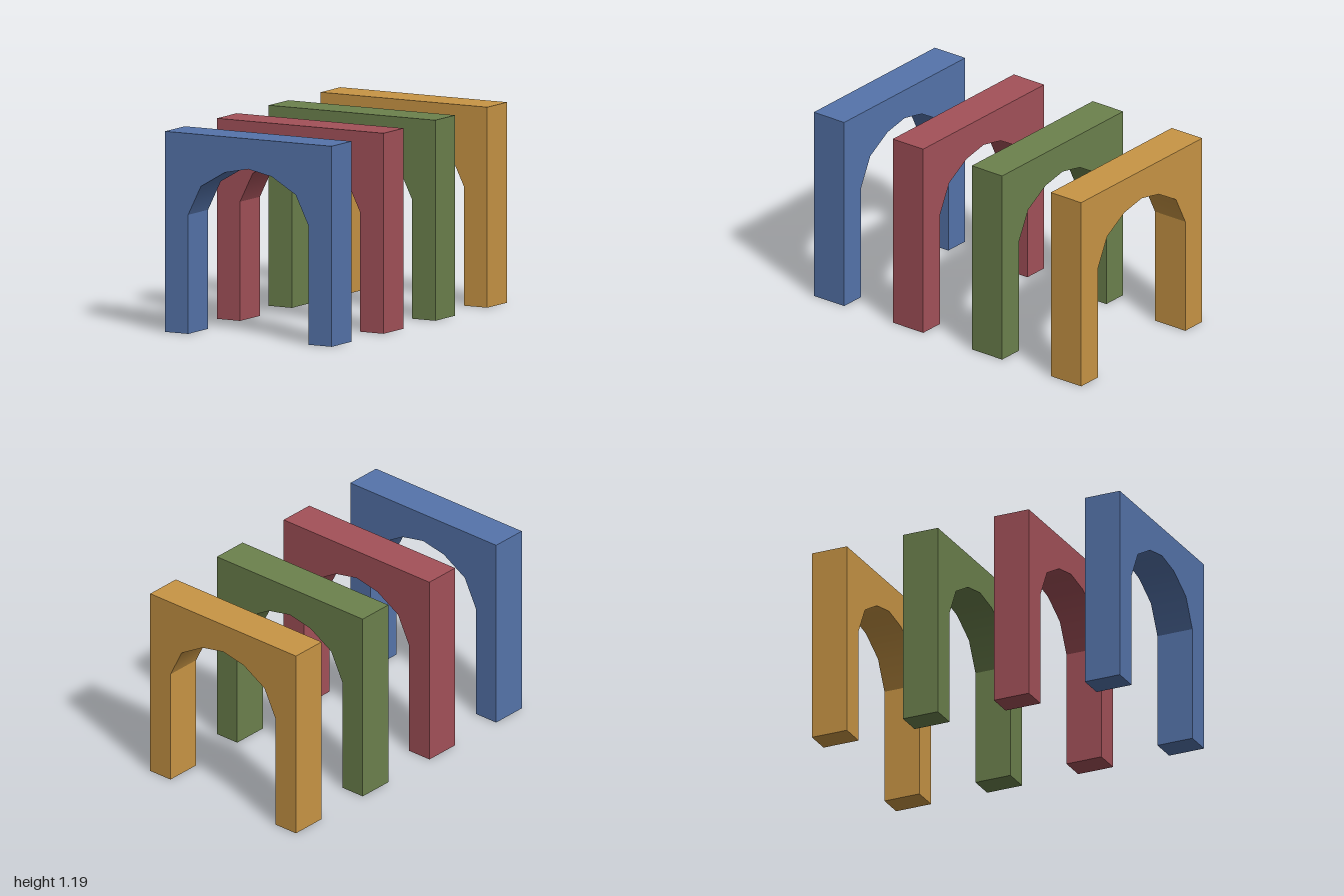
import * as THREE from 'three';

const HALF_WIDTH = 0.568, HEIGHT = 1.187, DEPTH = 0.227, SPRING = 0.705;
// right half of the arch curve, from springing to crown
const CURVE = [[0.41, SPRING], [0.323, 0.88], [0.16, 0.975], [0, 1.007]];

// Smooth the curved underside only, leaving every other edge sharp
function smoothUnderside(geometry) {
  const pos = geometry.attributes.position, nor = geometry.attributes.normal;
  const sums = new Map(), picked = [];
  for (let t = 0; t < pos.count; t += 3) {
    const tri = [t, t + 1, t + 2];
    const onCurve = tri.every(i => pos.getY(i) > SPRING - 0.001 && Math.abs(pos.getX(i)) < 0.42);
    if (!onCurve || Math.abs(nor.getZ(t)) > 0.5) continue;
    for (const i of tri) {
      const key = pos.getX(i).toFixed(3);
      if (!sums.has(key)) sums.set(key, new THREE.Vector3());
      sums.get(key).add(new THREE.Vector3().fromBufferAttribute(nor, i));
      picked.push([i, key]);
    }
  }
  for (const [i, key] of picked) {
    const n = sums.get(key).clone().normalize();
    nor.setXYZ(i, n.x, n.y, n.z);
  }
  return geometry;
}

function archGeometry() {
  const left = CURVE.slice(0, -1).reverse().map(([x, y]) => [-x, y]);
  const outline = [
    [-HALF_WIDTH, 0], [-HALF_WIDTH, HEIGHT], [HALF_WIDTH, HEIGHT], [HALF_WIDTH, 0],
    [0.41, 0], ...CURVE, ...left, [-0.41, 0],
  ];
  const shape = new THREE.Shape(outline.map(([x, y]) => new THREE.Vector2(x, y)));
  const geometry = new THREE.ExtrudeGeometry(shape, { depth: DEPTH, bevelEnabled: false });
  geometry.translate(0, 0, -DEPTH / 2);
  return smoothUnderside(geometry);
}

export function createModel() {
  const model = new THREE.Group();
  model.name = 'archRow';
  const geometry = archGeometry();

  // four identical arches, front to back
  const colours = [['blue', 0x5574ab], ['red', 0xa35159], ['green', 0x6c814d], ['ochre', 0xc89545]];
  const first = 1 - DEPTH / 2;
  colours.forEach(([name, color], i) => {
    const material = new THREE.MeshStandardMaterial({ color });
    material.name = name;
    const arch = new THREE.Mesh(geometry, material);
    arch.name = name + 'Arch';
    arch.position.z = first - i * (2 * first / 3);
    model.add(arch);
  });
  return model;
}
